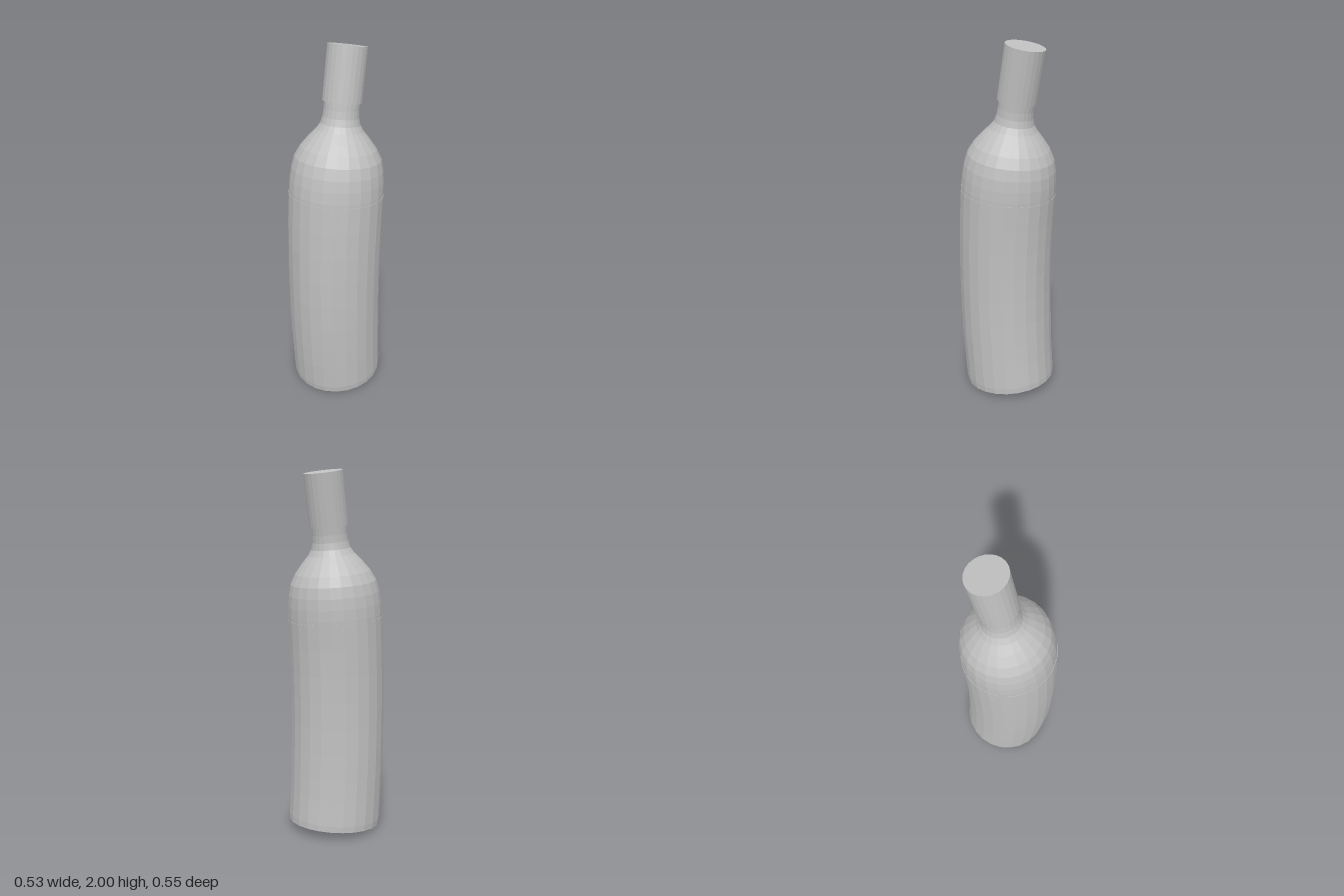
import * as THREE from 'three';

const SIDES = 24;
const BEND_RADIUS = 6.5;   // radius of the arc the bottle leans along
const BEND_Y = 0.70;       // height at which the axis is upright
const BEND_Z = 0.02;       // forward bulge of the axis there

// Bends an upright geometry backwards along an arc, with a slight sideways drift
function bend(geometry) {
  const p = geometry.attributes.position;
  for (let i = 0; i < p.count; i++) {
    const s = p.getY(i);
    const angle = (s - BEND_Y) / BEND_RADIUS;
    const r = BEND_RADIUS + p.getZ(i);
    p.setXYZ(i,
      p.getX(i) + 0.0018 * s * s,
      BEND_Y + r * Math.sin(angle),
      BEND_Z - BEND_RADIUS + r * Math.cos(angle));
  }
  return geometry;
}

// Faceted, bent lathe part from [radius, height] pairs listed bottom to top
function lathePart(name, profile, material) {
  const points = profile.map(([r, y]) => new THREE.Vector2(r, y));
  const geometry = bend(new THREE.LatheGeometry(points, SIDES)).toNonIndexed();
  geometry.computeVertexNormals();
  const mesh = new THREE.Mesh(geometry, material);
  mesh.name = name;
  return mesh;
}

// Straight wall split into rows so that it follows the bend
function wall(r, y0, y1, rows) {
  return Array.from({ length: rows + 1 }, (_, i) => [r, y0 + (y1 - y0) * i / rows]);
}

export function createModel() {
  const group = new THREE.Group();
  group.name = 'bottle';
  const grey = new THREE.MeshStandardMaterial({ color: 0xc0c0c0 });
  grey.name = 'grey';

  // Hollow dome under the base
  const punt = [];
  for (let i = 0; i <= 8; i++) {
    const a = (i / 8) * Math.PI / 2;
    punt.push([0.225 * Math.sin(a), 0.03 + 0.085 * Math.cos(a)]);
  }

  // Base rim, body, shoulder and neck
  group.add(lathePart('body', [
    ...punt,
    [0.238, 0.025], [0.257, 0.026],
    ...wall(0.26, 0.06, 1.22, 8),
    [0.257, 1.28], [0.25, 1.34], [0.236, 1.40], [0.207, 1.455],
    [0.168, 1.505], [0.128, 1.55], [0.107, 1.583], [0.098, 1.62],
    [0.095, 1.66], [0.095, 1.72],
  ], grey));

  // Thin label band around the body
  group.add(lathePart('label', [
    [0.259, 0.32], ...wall(0.262, 0.32, 1.2, 6), [0.259, 1.2],
  ], grey));

  // Closed sleeve over the mouth
  group.add(lathePart('cap', [
    [0.09, 1.70], [0.106, 1.70], [0.106, 1.988], [0, 1.988],
  ], grey));

  return group;
}
